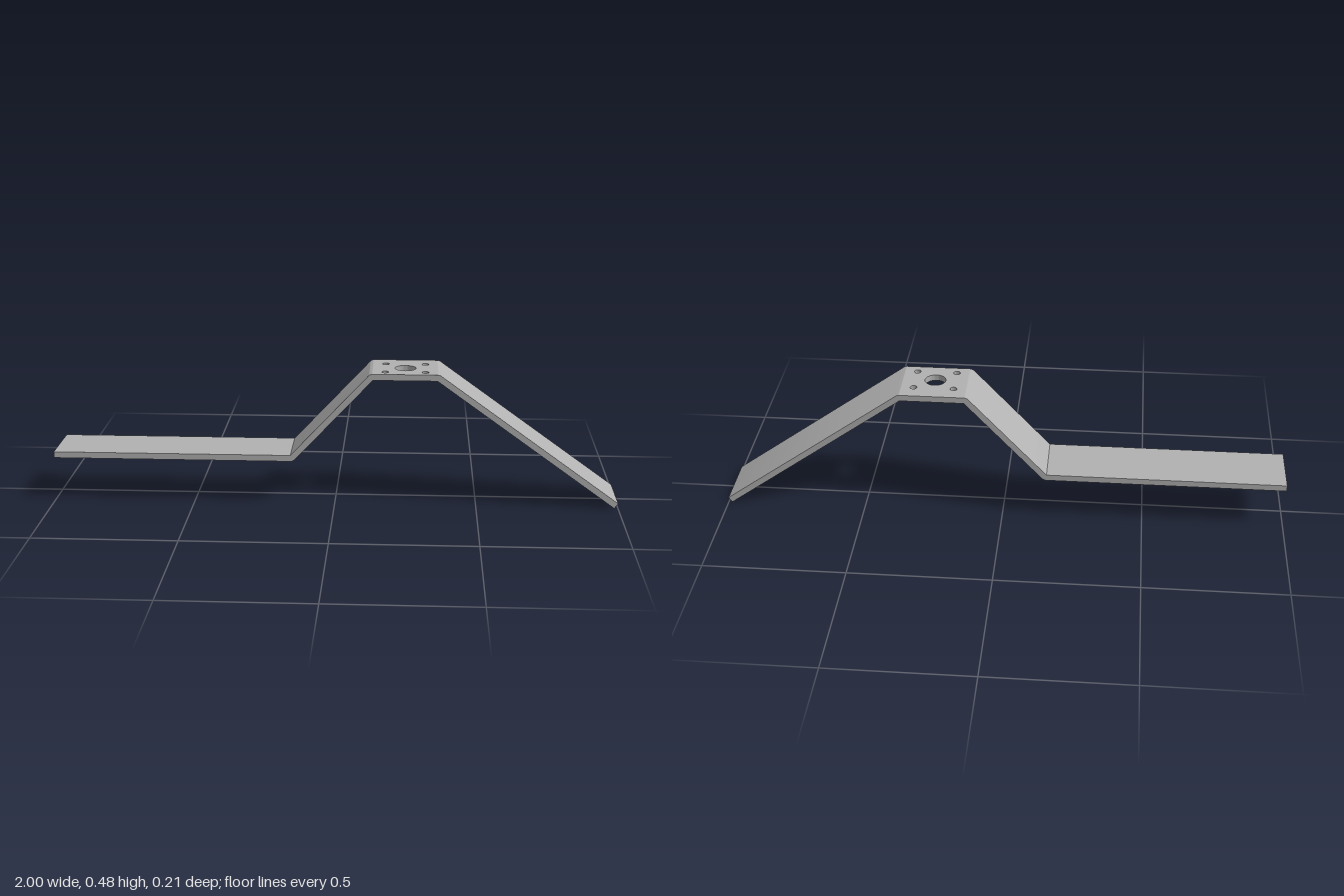
import * as THREE from 'three';
import { toCreasedNormals } from 'three/addons/utils/BufferGeometryUtils.js';

const T = 0.022;      // sheet thickness
const WIDTH = 0.21;   // strip width
const TOP = 0.477;    // height of the mounting plate
const ARM_TOP = 0.177;

// Inner corners of the three bends
const bendA = [-0.157, ARM_TOP];
const bendB = [0.133, TOP - T];
const bendC = [0.357, TOP - T];

// Outer rounding of a bend, angles in degrees
function bendArc([x, y], from, to, steps = 8) {
  return Array.from({ length: steps + 1 }, (_, i) => {
    const a = THREE.MathUtils.degToRad(from + ((to - from) * i) / steps);
    return [x + T * Math.cos(a), y + T * Math.sin(a)];
  });
}

function sideProfile(points) {
  return new THREE.Shape(points.map(([x, y]) => new THREE.Vector2(x, y)));
}

function extrude(shape, depth) {
  const g = new THREE.ExtrudeGeometry(shape, { depth, bevelEnabled: false, curveSegments: 24 });
  g.translate(0, 0, -depth / 2);
  return g;
}

export function createModel() {
  const group = new THREE.Group();
  group.name = 'bentBracket';
  const steel = new THREE.MeshStandardMaterial({ color: 0xb2b2b2 });
  steel.name = 'greySteel';

  const add = (name, geometry) => {
    const mesh = new THREE.Mesh(toCreasedNormals(geometry, 0.5), steel);
    mesh.name = name;
    group.add(mesh);
    return mesh;
  };

  // Flat arm and the ramp up to the mounting plate
  add('armAndRamp', extrude(sideProfile([
    [-1, ARM_TOP], [-1, ARM_TOP - T],
    ...bendArc(bendA, -90, -43.1),
    bendB,
    ...bendArc(bendB, 90, 136.9),
    bendA,
  ]), WIDTH));

  // Long sloping leg, cut square at its foot
  add('slopingLeg', extrude(sideProfile([
    bendC, [0.987, 0], [1, 0.018],
    ...bendArc(bendC, 54.2, 90),
  ]), WIDTH));

  // Mounting plate with a central bore and four screw holes
  const w = WIDTH / 2;
  const plate = sideProfile([[bendB[0], -w], [bendC[0], -w], [bendC[0], w], [bendB[0], w]]);
  const cx = 0.245, cz = 0.013;
  const hole = (x, z, r) => plate.holes.push(new THREE.Path().absarc(x, -z, r, 0, Math.PI * 2, true));
  hole(cx, cz, 0.037);
  for (const sx of [-1, 1]) {
    for (const sz of [-1, 1]) hole(cx + sx * 0.07, cz + sz * 0.057, 0.012);
  }
  const plateGeometry = extrude(plate, T);
  plateGeometry.rotateX(-Math.PI / 2);
  plateGeometry.translate(0, TOP - T / 2, 0);
  add('mountingPlate', plateGeometry);

  return group;
}
